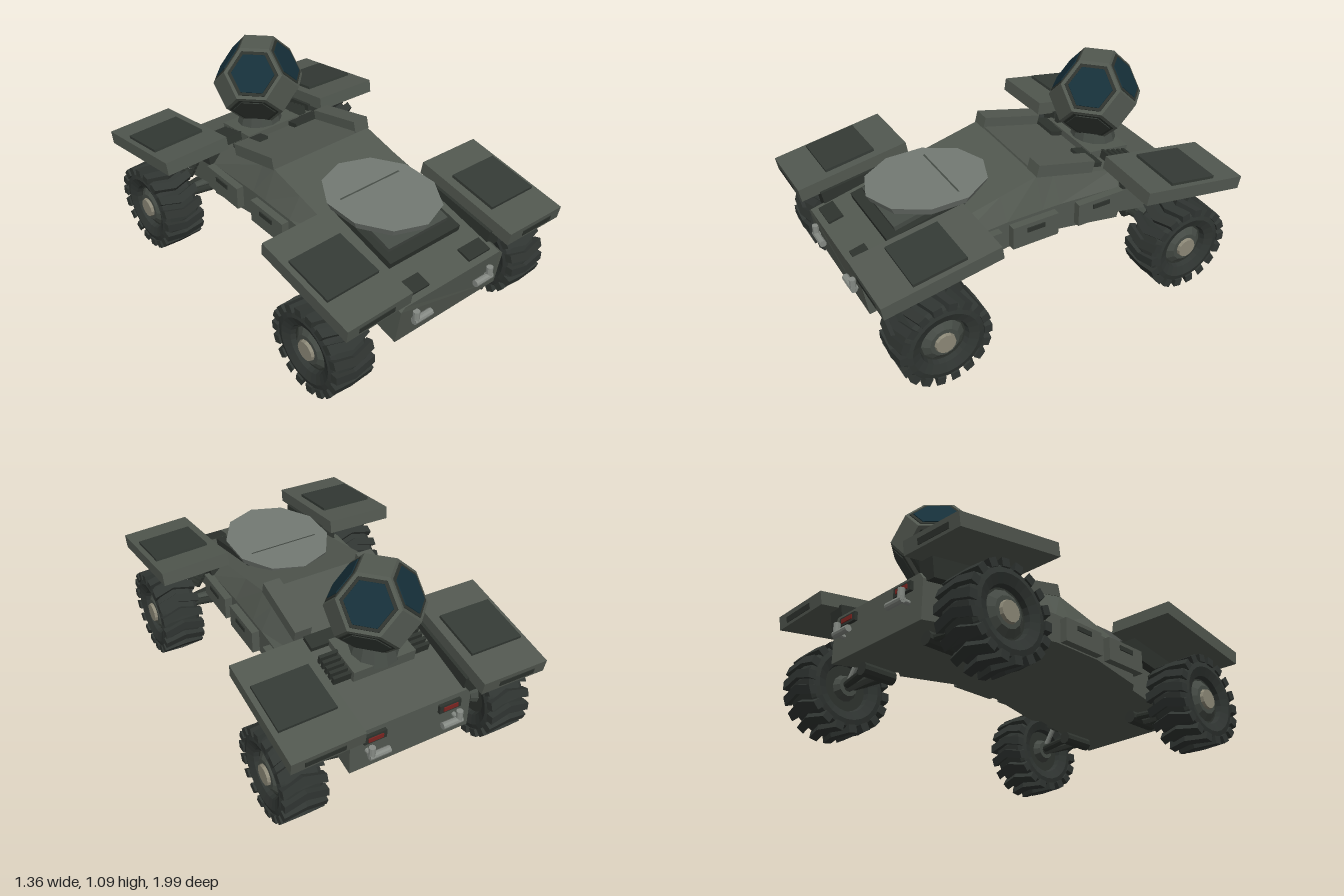
import * as THREE from 'three';
import { mergeGeometries } from 'three/addons/utils/BufferGeometryUtils.js';
import { ConvexGeometry } from 'three/addons/geometries/ConvexGeometry.js';

const mat = (color) => new THREE.MeshStandardMaterial({ color, flatShading: true });
const M = {
  hull: mat(0x525850), dark: mat(0x2e332e), panel: mat(0x343a35), pale: mat(0x737973), tire: mat(0x303532),
  rim: mat(0x454b45), hub: mat(0x8c8877), metal: mat(0x858a84), glass: mat(0x16303a), red: mat(0x7a2420),
};
const V = (x, y, z) => new THREE.Vector3(x, y, z);

function add(parent, name, geo, material, x = 0, y = 0, z = 0, rx = 0, ry = 0, rz = 0) {
  const m = new THREE.Mesh(geo, material);
  m.name = name;
  m.position.set(x, y, z);
  m.rotation.set(rx, ry, rz);
  parent.add(m);
  return m;
}
const box = (w, h, d) => new THREE.BoxGeometry(w, h, d);

// cylinder between two points
function rod(parent, name, a, b, r, material, sides = 10) {
  const m = add(parent, name, new THREE.CylinderGeometry(r, r, a.distanceTo(b), sides), material);
  m.position.copy(a).lerp(b, 0.5);
  m.quaternion.setFromUnitVectors(V(0, 1, 0), b.clone().sub(a).normalize());
  return m;
}

// height of the sloping deck at z
const deckY = (z) => 0.7 - 0.243 * Math.abs(z);
const SLOPE = Math.atan(0.243);

// hull lofted through six-sided sections: z, half width, bottom y, shoulder y
function hullGeometry() {
  const stations = [
    [0.95, 0.33, 0.25, 0.45], [0.52, 0.33, 0.33, 0.5], [0.48, 0.37, 0.337, 0.52], [0.2, 0.37, 0.39, 0.54],
    [0, 0.37, 0.39, 0.54], [-0.1, 0.37, 0.39, 0.54], [-0.46, 0.37, 0.33, 0.52], [-0.5, 0.33, 0.325, 0.5],
    [-0.89, 0.33, 0.25, 0.45],
  ];
  const rings = stations.map(([z, w, yb, ym], i) => {
    const zb = i === 0 ? z - 0.03 : z;
    return [V(w, yb, zb), V(w, ym, z), V(0.305, deckY(z), z), V(-0.305, deckY(z), z), V(-w, ym, z), V(-w, yb, zb)];
  });
  const p = [];
  const tri = (...vs) => vs.forEach((v) => p.push(v.x, v.y, v.z));
  for (let i = 0; i < rings.length - 1; i++) {
    for (let j = 0; j < 6; j++) {
      const k = (j + 1) % 6, a = rings[i], b = rings[i + 1];
      tri(a[j], b[j], b[k]);
      tri(a[j], b[k], a[k]);
    }
  }
  const f = rings[0], r = rings[rings.length - 1];
  for (let j = 1; j < 5; j++) {
    tri(f[0], f[j], f[j + 1]);
    tri(r[0], r[j + 1], r[j]);
  }
  const g = new THREE.BufferGeometry();
  g.setAttribute('position', new THREE.Float32BufferAttribute(p, 3));
  g.computeVertexNormals();
  return g;
}

// ring of chevron lugs around the x axis
function treadGeometry() {
  const w = 0.112, t = 0.022, drop = 0.03;
  const pts = [[-w, t], [-w, -t], [0, -t - drop], [w, -t], [w, t], [0, t - drop]];
  const shape = new THREE.Shape(pts.map(([x, y]) => new THREE.Vector2(x, y)));
  const lugs = [];
  for (let i = 0; i < 18; i++) {
    const g = new THREE.ExtrudeGeometry(shape, { depth: 0.04, bevelEnabled: false });
    lugs.push(g.translate(0, 0, 0.194).rotateX((i / 18) * Math.PI * 2));
  }
  return mergeGeometries(lugs);
}

function wheel(s, z) {
  const g = new THREE.Group();
  g.name = 'wheel';
  g.position.set(s * 0.568, 0.235, z);
  const profile = [[0.115, -0.06], [0.125, -0.09], [0.17, -0.108], [0.2, -0.1], [0.213, -0.08],
    [0.213, 0.08], [0.2, 0.1], [0.17, 0.108], [0.125, 0.09], [0.115, 0.06]];
  const tire = new THREE.LatheGeometry(profile.map(([r, h]) => new THREE.Vector2(r, h)), 24);
  add(g, 'tire', tire, M.tire, 0, 0, 0, 0, 0, -Math.PI / 2);
  add(g, 'tread', treadGeometry(), M.tire);
  const disc = (name, r1, r2, h, m, x) =>
    add(g, name, new THREE.CylinderGeometry(r1, r2, h, 12), m, x, 0, 0, 0, 0, -s * Math.PI / 2);
  disc('rim', 0.12, 0.12, 0.13, M.dark, 0);
  disc('rimCone', 0.075, 0.11, 0.025, M.rim, s * 0.077);
  disc('hubCap', 0.05, 0.055, 0.02, M.hub, s * 0.095);
  disc('innerHub', 0.07, 0.05, 0.04, M.rim, -s * 0.08);
  return g;
}

// swing arm, pivot and coil-over shock of one wheel
function suspension(s, z) {
  const g = new THREE.Group();
  g.name = 'suspension';
  const at = (x, y, dz = 0) => V(s * x, y, z + dz);
  rod(g, 'axle', at(0.24, 0.235), at(0.5, 0.235), 0.027, M.rim);
  rod(g, 'pivot', at(0.235, 0.232, -0.09), at(0.235, 0.232, 0.09), 0.034, M.dark);
  rod(g, 'swingArm', at(0.25, 0.235, 0.06), at(0.45, 0.235, 0.02), 0.02, M.dark);
  rod(g, 'swingArm', at(0.25, 0.235, -0.06), at(0.45, 0.235, -0.02), 0.02, M.dark);
  const low = at(0.46, 0.27), top = at(0.33, 0.46), dir = top.clone().sub(low);
  rod(g, 'shockRod', low, top, 0.014, M.metal);
  for (let i = 0; i < 6; i++) {
    const a = low.clone().addScaledVector(dir, 0.4 + i * 0.1);
    rod(g, 'shockCoil', a, a.clone().addScaledVector(dir, 0.065), 0.04, M.dark);
  }
  return g;
}

// sloping fender with top panel; e = 1 front, -1 rear
function fender(s, e) {
  const g = new THREE.Group();
  g.name = 'fender';
  g.position.set(s * 0.495, 0.603, e * 0.695);
  g.rotation.set(e * 0.165, 0, -s * 0.03);
  add(g, 'fenderPlate', box(0.365, 0.07, 0.598), M.hull);
  add(g, 'fenderPanel', box(0.29, 0.02, 0.27), M.panel, s * 0.01, 0.04, -e * 0.005);
  add(g, 'fenderSlot', box(0.2, 0.03, 0.008), M.dark, s * 0.015, -0.005, e * 0.298);
  add(g, 'fenderSupport', box(0.09, 0.11, 0.4), M.dark, -s * 0.155, -0.08, 0);
  return g;
}

// cabin: truncated octahedron with a framed pane on each hexagon
function cabin() {
  const g = new THREE.Group();
  g.name = 'cabin';
  g.position.set(0, 0.87, -0.545);
  const k = 0.1075, signs = [1, -1];
  const perms = [[0, 1, 2], [0, 2, 1], [1, 0, 2], [1, 2, 0], [2, 0, 1], [2, 1, 0]];
  const all = [];
  for (const a of signs) for (const b of signs) for (const c of signs) {
    const hex = perms.map((p) => V(p[0] * a, p[1] * b, p[2] * c).multiplyScalar(k));
    all.push(...hex);
    const mid = V(a, b, c).multiplyScalar(k), n = V(a, b, c).normalize();
    const plate = (name, outer, inner, lift, m) => add(g, name, new ConvexGeometry([
      ...hex.map((v) => v.clone().sub(mid).multiplyScalar(outer).add(mid).addScaledVector(n, -0.01)),
      ...hex.map((v) => v.clone().sub(mid).multiplyScalar(inner).add(mid).addScaledVector(n, lift)),
    ]), m);
    plate('paneFrame', 0.9, 0.86, 0.004, M.dark);
    plate('pane', 0.78, 0.74, 0.008, b > 0 ? M.glass : M.panel);
  }
  // shared corners are kept once
  const unique = [...new Map(all.map((v) => [v.toArray().map((n) => Math.round(n * 1e4) + 0).join(), v])).values()];
  add(g, 'cabinShell', new ConvexGeometry(unique), M.hull);
  return g;
}

export function createModel() {
  const root = new THREE.Group();
  root.name = 'rover';
  add(root, 'hull', hullGeometry(), M.hull);

  // stepped slabs and oval plate on the front deck
  add(root, 'frontSlab', box(0.45, 0.06, 0.42), M.dark, 0, deckY(0.55) + 0.005, 0.55, SLOPE);
  add(root, 'frontSlabTop', box(0.38, 0.05, 0.36), M.rim, 0, deckY(0.53) + 0.035, 0.53, SLOPE);
  add(root, 'platePedestal', new THREE.CylinderGeometry(0.14, 0.16, 0.08, 10), M.dark, 0, 0.6, 0.45);
  const plate = add(root, 'ovalPlate', new THREE.CylinderGeometry(1, 0.93, 0.042, 10), M.pale, 0, 0.65, 0.445);
  plate.scale.set(0.27, 1, 0.32);

  // cabin with neck and base
  root.add(cabin());
  add(root, 'cabinNeck', new THREE.CylinderGeometry(0.1, 0.13, 0.1, 12), M.rim, 0, 0.64, -0.545);
  add(root, 'cabinBase', box(0.34, 0.06, 0.24), M.hull, 0, 0.59, -0.53, -SLOPE * 0.5);

  // roof panel
  add(root, 'roofPanel', box(0.44, 0.02, 0.34), M.hull, 0, deckY(0.17), -0.17, -SLOPE);

  for (const s of [1, -1]) {
    add(root, 'roofRail', box(0.09, 0.065, 0.34), M.hull, s * 0.265, deckY(0.17) + 0.03, -0.172, -SLOPE);
    add(root, 'deckVent', box(0.17, 0.03, 0.08), M.dark, s * 0.18, deckY(0.38) + 0.01, -0.38, -SLOPE);
    for (let i = 0; i < 5; i++) {
      const z = -0.49 - i * 0.032;
      add(root, 'coolingRib', box(0.1, 0.05, 0.018), M.dark, s * 0.215, deckY(z) + 0.02, z, -SLOPE);
    }
    add(root, 'deckHatch', box(0.14, 0.016, 0.08), M.dark, s * 0.2, deckY(0.88) + 0.004, 0.88, SLOPE);

    // side lockers
    for (const [z, d] of [[0.38, 0.26], [0.06, 0.26], [-0.325, 0.27]]) {
      add(root, 'locker', box(0.06, 0.125, d), M.hull, s * 0.38, 0.46, z);
      add(root, 'lockerHandle', box(0.012, 0.025, 0.1), M.dark, s * 0.41, 0.487, z);
    }

    // L-shaped lamps at both ends, tail lights behind
    for (const z of [0.957, -0.935]) {
      rod(root, 'lampStem', V(s * 0.24, 0.355, z), V(s * 0.24, 0.415, z), 0.017, M.metal);
      rod(root, 'lampBar', V(s * 0.255, 0.36, z), V(s * 0.145, 0.36, z), 0.018, M.metal);
      rod(root, 'lampMount', V(s * 0.24, 0.36, z), V(s * 0.24, 0.36, z - Math.sign(z) * 0.06), 0.012, M.metal);
    }
    add(root, 'tailLightHousing', box(0.12, 0.045, 0.025), M.dark, s * 0.205, 0.435, -0.895);
    add(root, 'tailLight', box(0.08, 0.022, 0.03), M.red, s * 0.205, 0.435, -0.898);

    for (const e of [1, -1]) {
      root.add(fender(s, e), wheel(s, e * 0.695), suspension(s, e * 0.695));
    }
  }
  return root;
}
